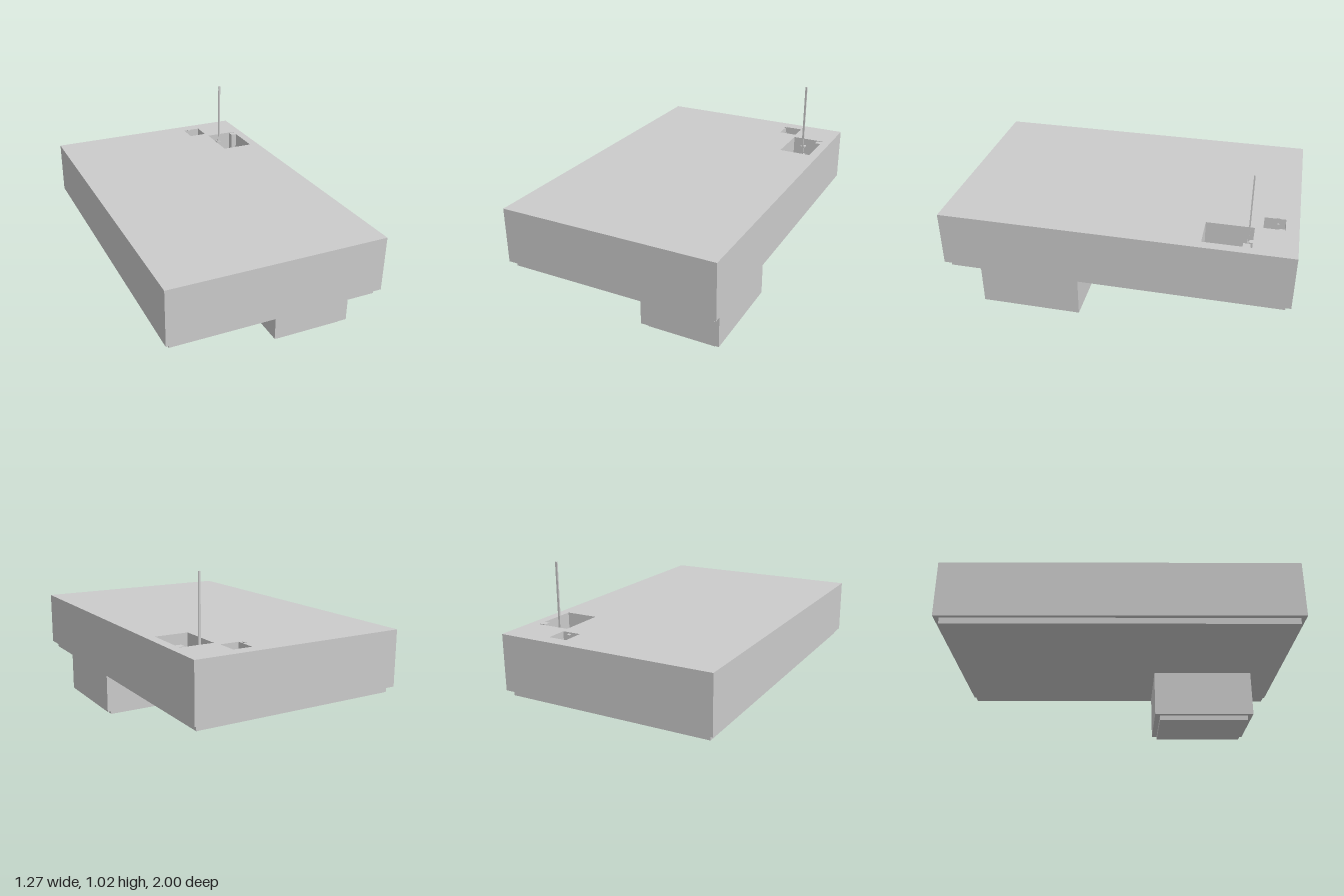
import * as THREE from 'three';

export function createModel() {
  const model = new THREE.Group();
  const grey = new THREE.MeshStandardMaterial({ color: 0xcccccc });
  const darkFloor = new THREE.MeshStandardMaterial({ color: 0x9fa6a3 });
  const paleFloor = new THREE.MeshStandardMaterial({ color: 0xd8d2bc });

  const add = (name, geometry, material = grey) => {
    const mesh = new THREE.Mesh(geometry, material);
    mesh.name = name;
    model.add(mesh);
    return mesh;
  };
  // Box given by its limits on each axis
  const box = (name, [x0, x1], [y0, y1], [z0, z1], material) =>
    add(name, new THREE.BoxGeometry(x1 - x0, y1 - y0, z1 - z0), material)
      .position.set((x0 + x1) / 2, (y0 + y1) / 2, (z0 + z1) / 2);
  // Plan outlines are written as [x, z]
  const outline = (points) => points.map(([x, z]) => new THREE.Vector2(x, -z));

  // Main block with two openings in its top
  const plan = new THREE.Shape(outline([[-0.635, 1], [0.635, 1], [0.635, -1], [-0.635, -1]]));
  plan.holes.push(
    new THREE.Path(outline([[0.265, -0.805], [0.265, -0.925], [0.375, -0.925], [0.375, -0.805]])),
    new THREE.Path(outline([
      [0.385, -0.49], [0.385, -0.76], [0.58, -0.76], [0.58, -0.75],
      [0.545, -0.75], [0.545, -0.71], [0.58, -0.71], [0.58, -0.49],
    ])),
  );
  const block = new THREE.ExtrudeGeometry(plan, { depth: 0.325, bevelEnabled: false });
  block.rotateX(-Math.PI / 2).translate(0, 0.33, 0);
  add('mainBlock', block);

  // Stepped underside and the lower chamber
  box('mainBase', [-0.608, 0.608], [0.295, 0.33], [-0.97, 0.97]);
  box('lowerChamber', [0.09, 0.565], [0.028, 0.295], [0.215, 0.81]);
  box('lowerChamberBase', [0.12, 0.53], [0, 0.028], [0.245, 0.78]);

  // Floors inside the openings
  box('largeOpeningFloor', [0.385, 0.58], [0.33, 0.36], [-0.76, -0.49], darkFloor);
  box('smallOpeningFloor', [0.265, 0.375], [0.33, 0.54], [-0.925, -0.805], paleFloor);
  box('smallOpeningLedge', [0.265, 0.375], [0.54, 0.59], [-0.925, -0.895]);
  box('smallOpeningKerb', [0.365, 0.375], [0.54, 0.59], [-0.895, -0.805]);
  box('smallPost', [0.275, 0.285], [0.54, 0.63], [-0.89, -0.88]);
  box('smallPlate', [0.272, 0.288], [0.668, 0.673], [-0.89, -0.872]);

  // Tall pole with short brackets back to the wall
  box('pole', [0.448, 0.46], [0.36, 1.02], [-0.738, -0.73]);
  for (let i = 0; i < 4; i++) {
    const y = 0.42 + i * 0.06;
    box('poleBracket', [0.44, 0.468], [y, y + 0.01], [-0.76, -0.728]);
  }
  return model;
}
